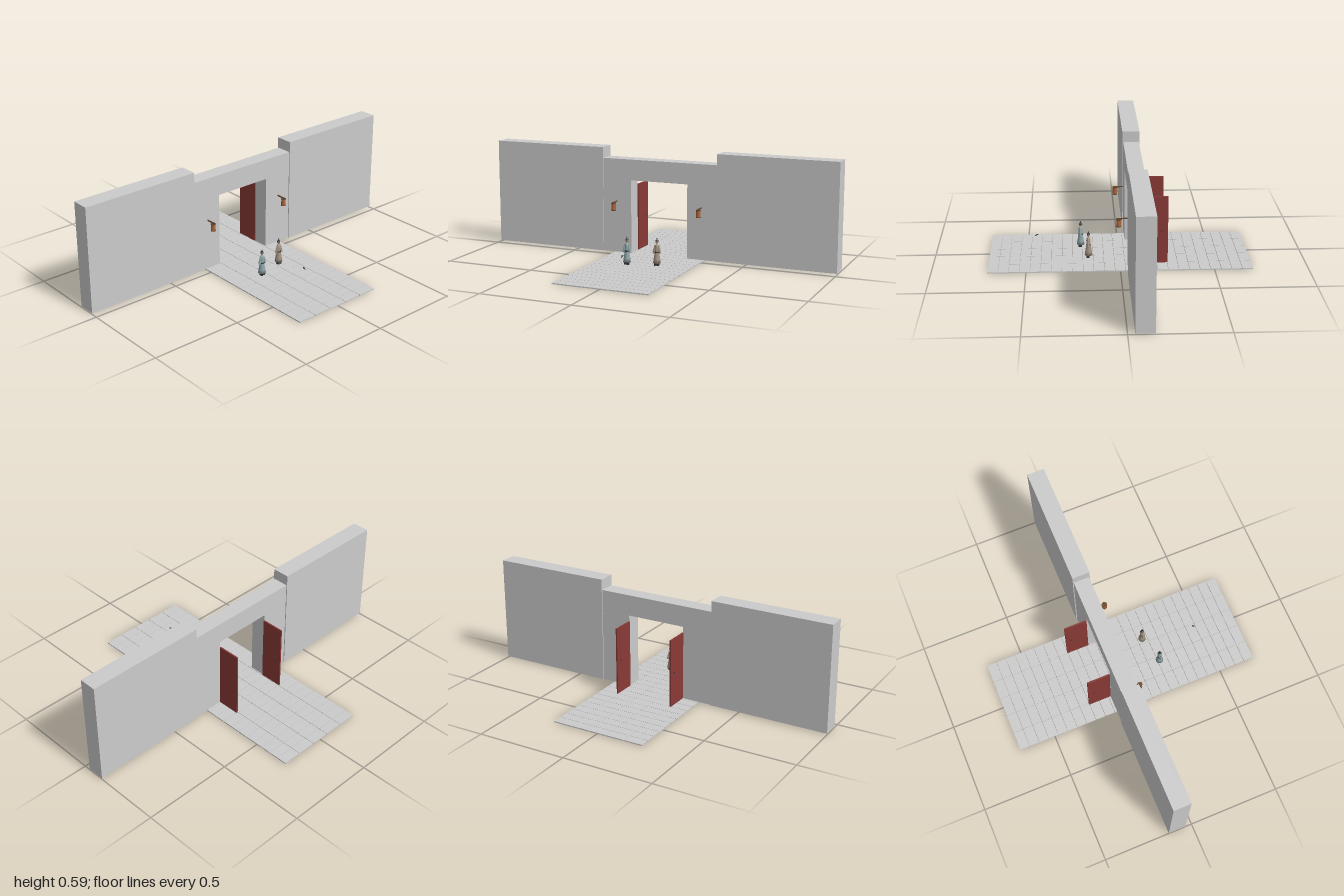
import * as THREE from 'three';

const mat = (color) => new THREE.MeshStandardMaterial({ color });
const grey = mat(0xcccccc);
const doorRed = mat(0x8a3a36), dark = mat(0x333333), skin = mat(0xb09a86);
const wood = mat(0x6b4a30), lanternOrange = mat(0xb0683c);

function add(parent, name, geometry, material, x = 0, y = 0, z = 0) {
  const mesh = new THREE.Mesh(geometry, material);
  mesh.name = name;
  mesh.position.set(x, y, z);
  parent.add(mesh);
  return mesh;
}

// Box given by its minimum and maximum corners
function span(parent, name, material, [x0, y0, z0], [x1, y1, z1]) {
  return add(parent, name, new THREE.BoxGeometry(x1 - x0, y1 - y0, z1 - z0), material,
    (x0 + x1) / 2, (y0 + y1) / 2, (z0 + z1) / 2);
}

function group(parent, name, x = 0, y = 0, z = 0) {
  const g = new THREE.Group();
  g.name = name;
  g.position.set(x, y, z);
  parent.add(g);
  return g;
}

// Robed figure with sleeves, head and pointed hair knot
function addFigure(parent, name, x, z, robeColor) {
  const g = group(parent, name, x, 0.006, z);
  const robe = mat(robeColor);
  const profile = [[0, 0.014], [0.021, 0.014], [0.018, 0.035], [0.011, 0.075], [0.012, 0.098], [0.009, 0.112], [0.004, 0.118], [0, 0.118]]
    .map(([r, y]) => new THREE.Vector2(r, y));
  add(g, 'robe', new THREE.LatheGeometry(profile, 14), robe);
  add(g, 'belt', new THREE.CylinderGeometry(0.0118, 0.0125, 0.006, 14), dark, 0, 0.074, 0);
  add(g, 'neck', new THREE.CylinderGeometry(0.0035, 0.0035, 0.01, 8), skin, 0, 0.12, 0);
  add(g, 'head', new THREE.SphereGeometry(0.0085, 12, 8), skin, 0, 0.129, 0);
  add(g, 'hair', new THREE.SphereGeometry(0.0092, 12, 6, 0, Math.PI * 2, 0, Math.PI / 2), dark, 0, 0.131, -0.001);
  add(g, 'hairKnot', new THREE.ConeGeometry(0.0045, 0.016, 8), dark, 0, 0.146, 0);
  for (const s of [-1, 1]) {
    const sleeve = add(g, 'sleeve', new THREE.CylinderGeometry(0.004, 0.007, 0.042, 8), robe, s * 0.0145, 0.09, 0.001);
    sleeve.rotation.z = s * 0.2;
    add(g, 'hand', new THREE.SphereGeometry(0.0035, 8, 6), skin, s * 0.018, 0.067, 0.001);
    add(g, 'foot', new THREE.BoxGeometry(0.009, 0.015, 0.018), dark, s * 0.008, 0.0075, 0.003);
  }
}

export function createModel() {
  const model = new THREE.Group();
  model.name = 'gateway';

  // Paving slabs with narrow open joints
  const paving = group(model, 'paving');
  const cols = 5, rows = 25, w = 0.53 / cols, d = 1.41 / rows;
  const slab = new THREE.BoxGeometry(w - 0.002, 0.006, d - 0.002);
  for (let i = 0; i < cols; i++)
    for (let j = 0; j < rows; j++)
      add(paving, 'slab', slab, grey, (i - (cols - 1) / 2) * w, 0.003, (j - (rows - 1) / 2) * d);

  // Tall side walls
  for (const s of [-1, 1])
    span(model, s > 0 ? 'leftWall' : 'rightWall', grey,
      [s > 0 ? 0.335 : -1, 0.006, -0.133], [s > 0 ? 1 : -0.335, 0.59, -0.036]);

  // Lower gate section with the doorway cut through
  const gate = new THREE.Shape([[-0.335, 0.006], [-0.167, 0.006], [-0.167, 0.415], [0.165, 0.415],
    [0.165, 0.006], [0.335, 0.006], [0.335, 0.53], [-0.335, 0.53]].map(([x, y]) => new THREE.Vector2(x, y)));
  add(model, 'gateSection', new THREE.ExtrudeGeometry(gate, { depth: 0.087, bevelEnabled: false }), grey, 0, 0, -0.128);

  for (const s of [-1, 1]) {
    // Door leaf swung open to the back, with ring handle
    const door = group(model, s > 0 ? 'leftDoor' : 'rightDoor', s * 0.165, 0, 0);
    span(door, 'doorLeaf', doorRed, [-0.004, 0.007, -0.257], [0.004, 0.382, -0.129]);
    for (const f of [-1, 1]) {
      const ring = add(door, 'ringHandle', new THREE.TorusGeometry(0.005, 0.001, 6, 14), dark, f * 0.005, 0.19, -0.224);
      ring.rotation.y = Math.PI / 2;
    }

    // Lantern hanging from a wall bracket
    const lantern = group(model, s > 0 ? 'leftLantern' : 'rightLantern', s * 0.25, 0, 0.01);
    span(lantern, 'bracket', wood, [-0.003, 0.291, -0.047], [0.003, 0.297, 0.012]);
    add(lantern, 'lanternBody', new THREE.CylinderGeometry(0.012, 0.012, 0.034, 12), lanternOrange, 0, 0.27, 0);
    for (const y of [0.2515, 0.2885])
      add(lantern, 'lanternCap', new THREE.CylinderGeometry(0.014, 0.014, 0.004, 12), wood, 0, y, 0);
  }

  addFigure(model, 'rightFigure', -0.079, 0.207, 0x8fa5a8);
  addFigure(model, 'leftFigure', 0.077, 0.166, 0xa49584);

  // Small bird in the air
  const bird = group(model, 'bird', 0.004, 0.111, 0.447);
  bird.rotation.x = 0.45;
  const body = add(bird, 'birdBody', new THREE.SphereGeometry(0.003, 8, 6), dark);
  body.scale.z = 3.4;
  add(bird, 'birdWings', new THREE.BoxGeometry(0.012, 0.001, 0.004), dark, 0, 0.001, -0.003);

  return model;
}
